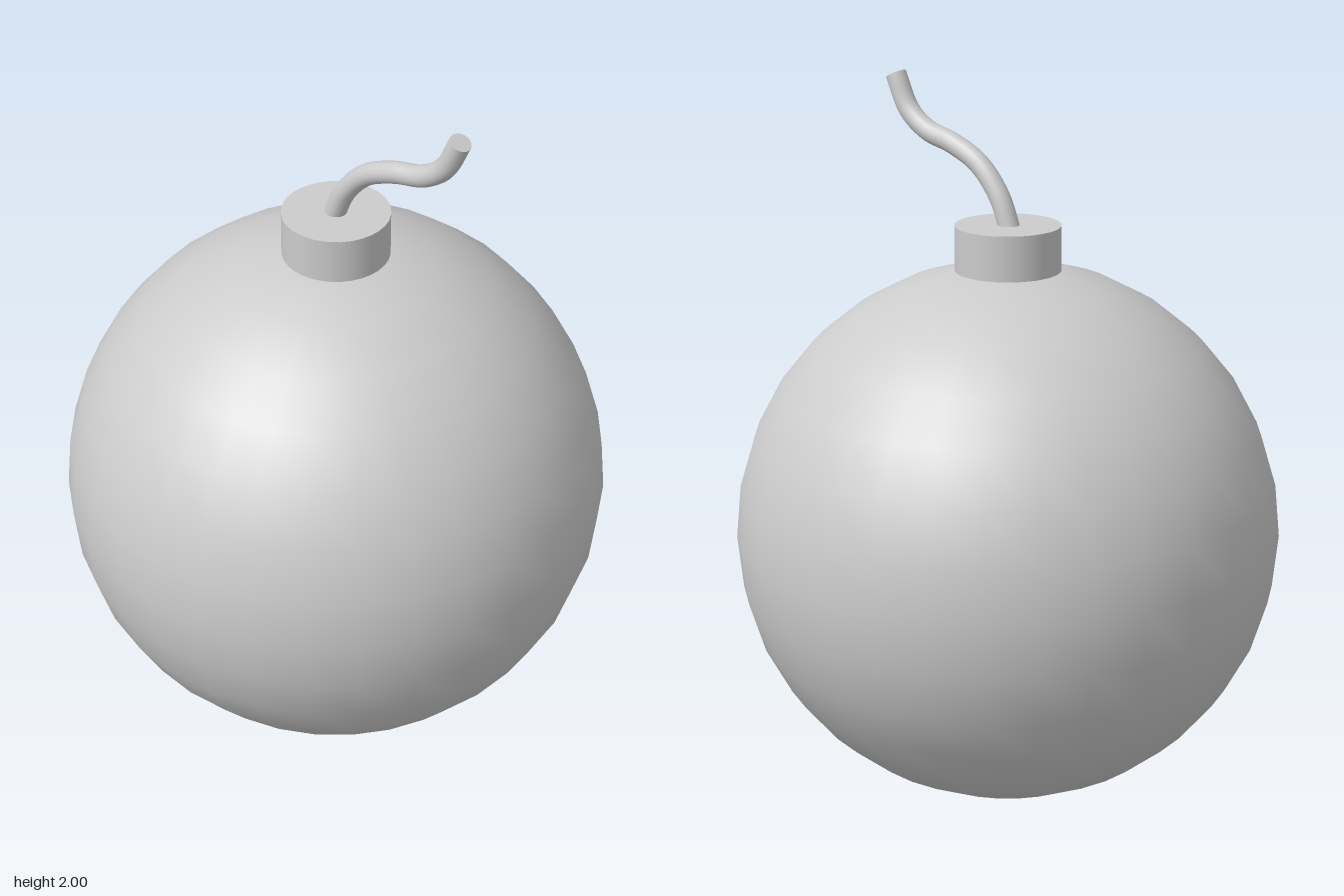
import * as THREE from 'three';

export function createModel() {
  const model = new THREE.Group();
  const material = new THREE.MeshStandardMaterial({ color: 0xcccccc });
  const add = (name, geometry, y = 0) => {
    const mesh = new THREE.Mesh(geometry, material);
    mesh.name = name;
    mesh.position.y = y;
    model.add(mesh);
    return mesh;
  };

  // Round body
  add('body', new THREE.SphereGeometry(0.755, 32, 16), 0.757);

  // Short collar on top, sunk slightly into the body
  add('collar', new THREE.CylinderGeometry(0.145, 0.145, 0.14, 32), 1.552);

  // Curved fuse, leaning forward: [z, y] points along its centre line
  const path = new THREE.CatmullRomCurve3([
    [-0.01, 1.6], [0.03, 1.695], [0.1, 1.775], [0.19, 1.82],
    [0.285, 1.848], [0.35, 1.897], [0.397, 1.99],
  ].map(([z, y]) => new THREE.Vector3(0, y, z)));
  const fuseRadius = 0.029;
  add('fuse', new THREE.TubeGeometry(path, 40, fuseRadius, 16));

  // Flat tip closing the fuse
  const tip = add('fuseTip', new THREE.CircleGeometry(fuseRadius, 16));
  tip.position.copy(path.getPointAt(1));
  tip.quaternion.setFromUnitVectors(new THREE.Vector3(0, 0, 1), path.getTangentAt(1));

  return model;
}
